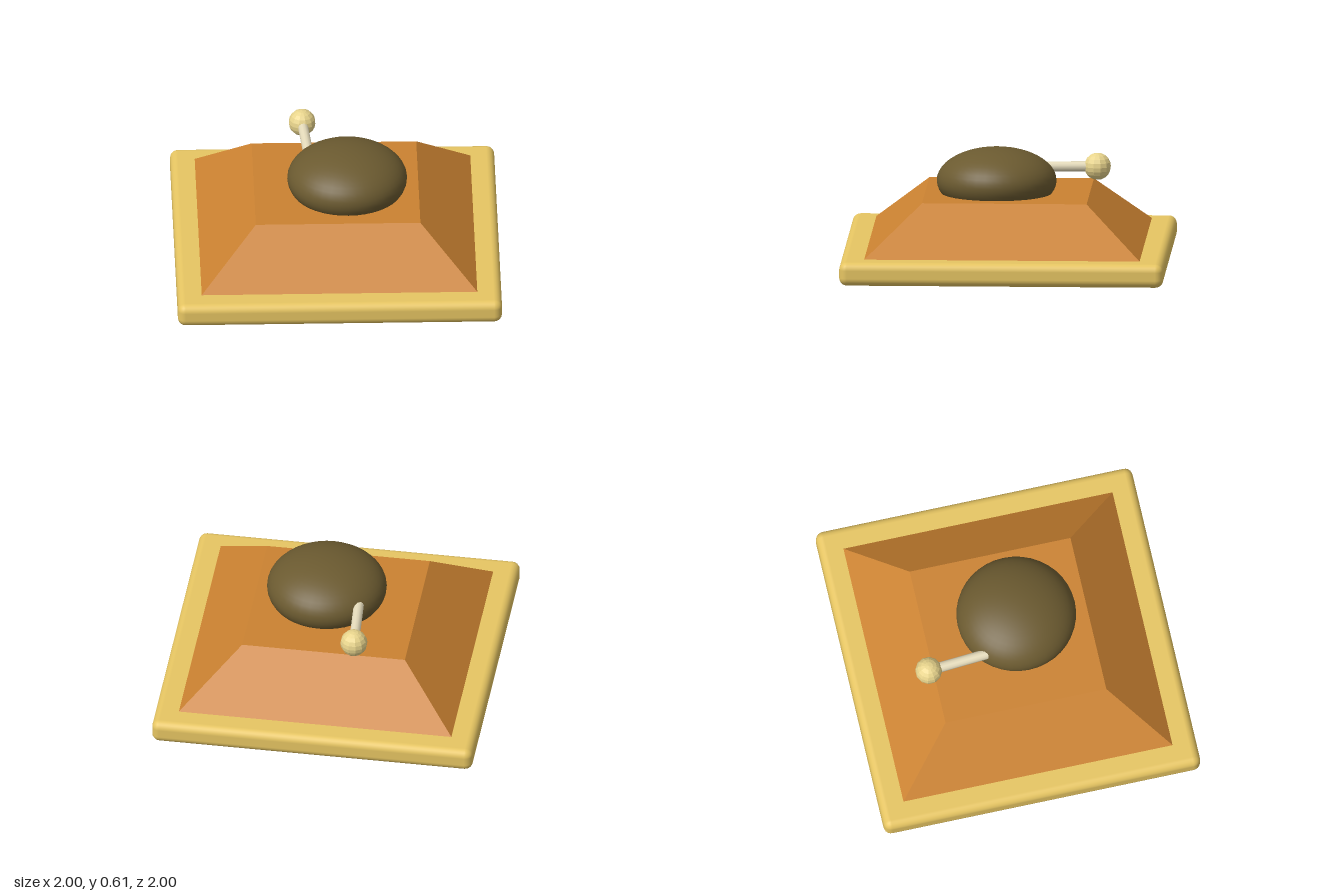
import * as THREE from 'three';
import { RoundedBoxGeometry } from 'three/addons/geometries/RoundedBoxGeometry.js';

export function createModel() {
  const model = new THREE.Group();

  function add(name, geometry, color, x, y, z, flatShading = false) {
    const material = new THREE.MeshStandardMaterial({ color, flatShading });
    const mesh = new THREE.Mesh(geometry, material);
    mesh.name = name;
    mesh.position.set(x, y, z);
    model.add(mesh);
    return mesh;
  }

  const yellow = 0xe6c562, orange = 0xcb8231;

  // Square plate turned onto its corner, with rounded edges
  const side = 1.434;
  const plate = add('plate', new RoundedBoxGeometry(side, 0.105, side, 3, 0.035), yellow, 0, 0.1425, 0);
  plate.rotation.y = Math.PI / 4;

  // Sloped four-sided body above and shallow pyramid below
  add('body', new THREE.CylinderGeometry(0.515, 0.87, 0.22, 4), orange, 0, 0.3, 0, true);
  add('keel', new THREE.CylinderGeometry(0.46, 0, 0.1, 4), orange, 0, 0.05, 0, true);

  // Flattened dome, slightly forward of centre
  const dome = add('dome', new THREE.SphereGeometry(0.265, 40, 24), 0x6b5a30, 0, 0.465, 0.068);
  dome.scale.y = 0.55;

  // Lever reaching back to a faceted knob
  const start = new THREE.Vector3(0.0, 0.5, -0.17);
  const end = new THREE.Vector3(0.177, 0.5, -0.375);
  const dir = end.clone().sub(start);
  const mid = start.clone().add(end).multiplyScalar(0.5);
  const lever = add('lever', new THREE.CylinderGeometry(0.023, 0.023, dir.length(), 12), 0xe6dcbc, mid.x, mid.y, mid.z);
  lever.quaternion.setFromUnitVectors(new THREE.Vector3(0, 1, 0), dir.normalize());
  add('knob', new THREE.SphereGeometry(0.06, 12, 10), 0xe8d48c, end.x, end.y, end.z, true);

  return model;
}
